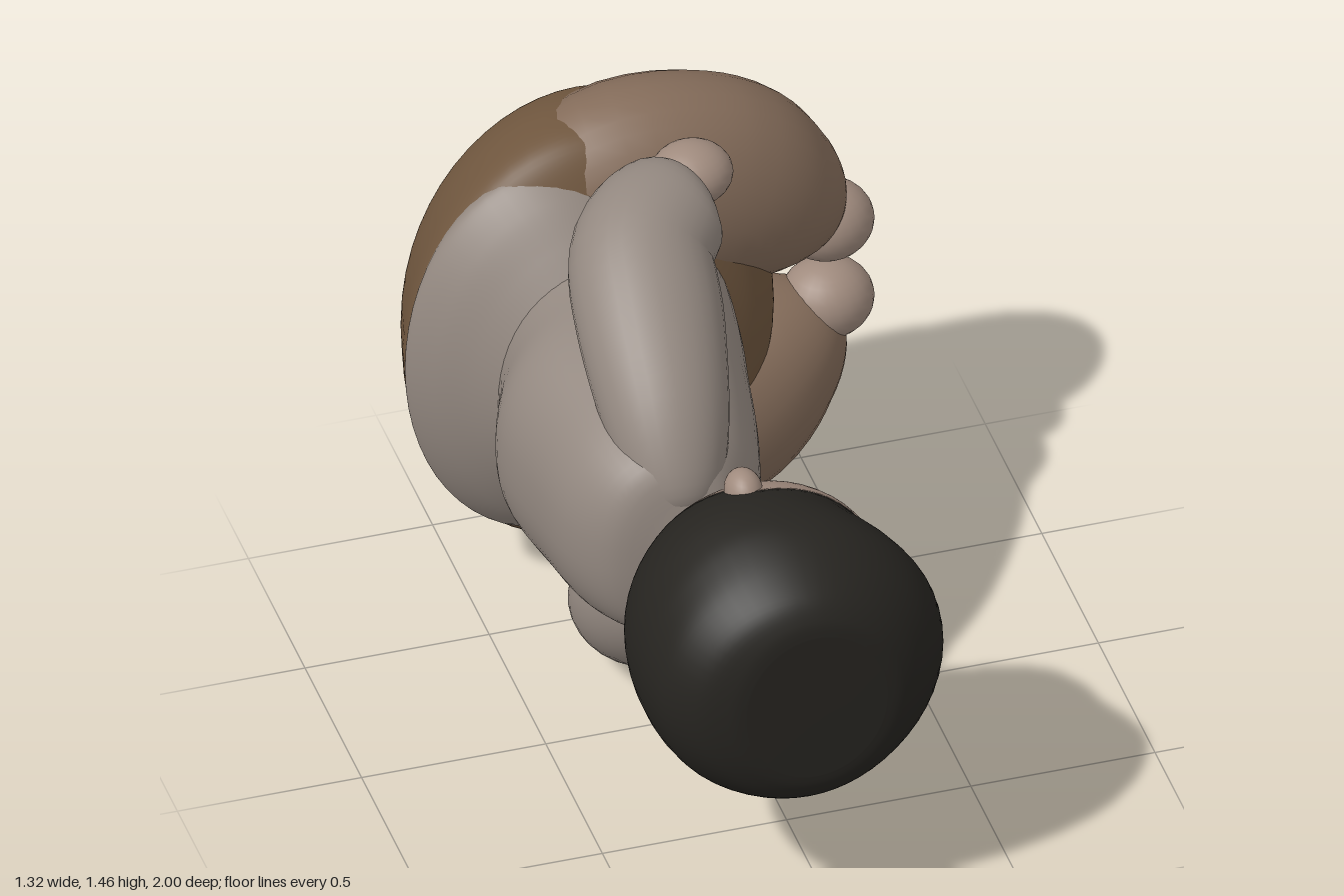
import * as THREE from 'three';

const MID = 0.742; // height of the figure's plane of symmetry
const CLOTH = 0x938880, SKIN = 0xa08b7e, HAIR = 0x262420, LEG = 0x846c5a, BASE = 0x6f563e;

// Smooth interpolation through rows of numbers, t in 0..1
function sample(rows, t) {
  const f = Math.min(Math.max(t, 0), 1) * (rows.length - 1);
  const i = Math.min(Math.floor(f), rows.length - 2), w = f - i;
  const row = (k) => rows[Math.min(Math.max(k, 0), rows.length - 1)];
  return rows[i].map((b, k) => {
    const a = row(i - 1)[k], c = row(i + 1)[k], d = row(i + 2)[k];
    return b + 0.5 * w * (c - a + w * (2 * a - 5 * b + 4 * c - d + w * (3 * (b - c) + d - a)));
  });
}

// Closed smooth skin over point(ring 0..1, angle)
function skin(name, color, point, rings = 40, sides = 56) {
  const pos = [], index = [];
  for (let i = 0; i <= rings; i++)
    for (let j = 0; j < sides; j++) pos.push(...point(i / rings, (j / sides) * Math.PI * 2));
  for (let i = 0; i < rings; i++)
    for (let j = 0; j < sides; j++) {
      const a = i * sides + j, b = i * sides + ((j + 1) % sides);
      index.push(a, b, b + sides, a, b + sides, a + sides);
    }
  // caps
  for (const end of [0, rings]) {
    const c = [0, 0, 0], first = end * sides;
    for (let j = 0; j < sides; j++) for (let k = 0; k < 3; k++) c[k] += pos[(first + j) * 3 + k] / sides;
    const centre = pos.length / 3;
    pos.push(...c);
    for (let j = 0; j < sides; j++) {
      const a = first + j, b = first + ((j + 1) % sides);
      if (end) index.push(centre, a, b); else index.push(centre, b, a);
    }
  }
  const g = new THREE.BufferGeometry();
  g.setAttribute('position', new THREE.Float32BufferAttribute(pos, 3));
  g.setIndex(index);
  g.computeVertexNormals();
  return part(name, color, g);
}

function part(name, color, geometry) {
  const mesh = new THREE.Mesh(geometry, new THREE.MeshStandardMaterial({ color }));
  mesh.name = name;
  return mesh;
}

// Point on a section table with rows [z, back x, front x, half width]
const squash = (v, p) => Math.sign(v) * Math.abs(v) ** p;
function onSection(rows, t, angle, p = 1) {
  const [z, x0, x1, h] = sample(rows, t);
  return [(x0 + x1) / 2 + ((x1 - x0) / 2) * squash(Math.cos(angle), p), MID + h * squash(Math.sin(angle), p), z];
}
const loft = (name, color, rows, p) => skin(name, color, (t, a) => onSection(rows, t, a, p));

// Rounded limb through rows [x, y from middle, z, radius along ref, other radius]
function limb(name, color, rows, side, ref, power) {
  const at = (t) => {
    const r = sample(rows, t);
    return { c: new THREE.Vector3(r[0], MID + side * r[1], r[2]), a: r[3], b: r[4] };
  };
  return skin(name, color, (s, angle) => {
    const t = (1 - Math.cos(Math.PI * s)) / 2, { c, a, b } = at(t);
    const dir = at(Math.min(t + 0.02, 1)).c.sub(at(Math.max(t - 0.02, 0)).c).normalize();
    const u = ref.clone().addScaledVector(dir, -ref.dot(dir)).normalize();
    const v = dir.clone().cross(u);
    const k = Math.sqrt(Math.max(0, 1 - Math.abs(2 * t - 1) ** power));
    c.addScaledVector(u, a * k * Math.cos(angle)).addScaledVector(v, b * k * Math.sin(angle));
    return [c.x, c.y, Math.max(c.z, -0.995)]; // flat underside
  }, 36, 32);
}

function ball(name, color, x, y, z, rx, ry, rz) {
  const m = part(name, color, new THREE.SphereGeometry(1, 24, 16));
  m.position.set(x, y, z);
  m.scale.set(rx, ry, rz);
  return m;
}

const HEAD = [
  [0.27, -0.25, -0.04, 0.1], [0.32, -0.32, 0.07, 0.19], [0.4, -0.38, 0.2, 0.3],
  [0.5, -0.44, 0.25, 0.37], [0.6, -0.465, 0.265, 0.405], [0.7, -0.47, 0.315, 0.415],
  [0.78, -0.465, 0.335, 0.405], [0.87, -0.445, 0.305, 0.37], [0.95, -0.385, 0.235, 0.32],
  [0.99, -0.31, 0.17, 0.265], [1, -0.26, 0.12, 0.22],
];

const TORSO = [
  [-0.68, -0.42, 0.2, 0.38], [-0.6, -0.45, 0.2, 0.4], [-0.45, -0.49, 0.18, 0.39],
  [-0.3, -0.54, 0.15, 0.38], [-0.1, -0.515, 0.11, 0.36], [0.1, -0.48, 0.05, 0.32],
  [0.23, -0.4, -0.03, 0.26], [0.28, -0.27, -0.05, 0.13], [0.31, -0.23, -0.06, 0.1],
];

const SEAT = [
  [-1, -0.53, 0.33, 0.58], [-0.97, -0.59, 0.35, 0.62], [-0.85, -0.63, 0.36, 0.65],
  [-0.72, -0.65, 0.34, 0.63], [-0.64, -0.58, 0.28, 0.52], [-0.6, -0.45, 0.2, 0.4],
];

const SKIRT = [
  [-0.76, -0.64, 0.08, 0.56], [-0.71, -0.66, 0.1, 0.57], [-0.63, -0.61, 0.1, 0.52],
  [-0.55, -0.53, 0.1, 0.44], [-0.48, -0.46, 0.1, 0.36],
];

const SLEEVE = [
  [-0.2, 0.1, 0.23, 0.13, 0.12], [-0.19, 0.3, 0.05, 0.17, 0.16], [-0.17, 0.45, -0.15, 0.195, 0.17],
  [-0.14, 0.54, -0.32, 0.19, 0.17], [-0.04, 0.585, -0.43, 0.17, 0.15], [0.03, 0.59, -0.48, 0.13, 0.12],
];

const THIGH = [
  [-0.32, 0.3, -0.83, 0.2, 0.25], [-0.05, 0.41, -0.82, 0.23, 0.285], [0.2, 0.345, -0.83, 0.23, 0.3],
  [0.4, 0.23, -0.86, 0.19, 0.22], [0.54, 0.14, -0.88, 0.12, 0.12],
];

// Hairline: high at the brow, level at the ears, low at the nape
function hairline(angle) {
  const c = Math.cos(angle);
  const z = c > 0 ? 0.56 + 0.23 * c ** 8 : 0.56 - 0.17 * Math.sqrt(-c);
  let lo = 0, hi = 1;
  for (let i = 0; i < 16; i++) {
    const m = (lo + hi) / 2;
    if (sample(HEAD, m)[0] < z) lo = m; else hi = m;
  }
  return lo;
}

export function createModel() {
  const model = new THREE.Group();
  model.name = 'seatedFigure';

  // Head
  model.add(
    skin('face', SKIN, (t, a) => onSection(HEAD, t * hairline(a), a)),
    skin('hair', HAIR, (t, a) => {
      const h = hairline(a);
      return onSection(HEAD, h + t * (1 - h), a);
    }),
  );

  // Body and seat
  model.add(
    loft('torso', CLOTH, TORSO, 0.9),
    loft('skirt', CLOTH, SKIRT),
    loft('seat', BASE, SEAT),
  );

  // Mirrored parts
  const alongX = new THREE.Vector3(1, 0, 0), alongZ = new THREE.Vector3(0, 0, 1);
  for (const s of [-1, 1]) {
    const y = (d) => MID + s * d;
    model.add(
      ball('ear', SKIN, -0.12, y(0.365), 0.51, 0.05, 0.06, 0.065),
      ball('eye', HAIR, 0.226, y(0.155), 0.55, 0.012, 0.022, 0.022),
      limb('sleeve', CLOTH, SLEEVE, s, alongX, 8),
      ball('hand', SKIN, 0.055, y(0.625), -0.52, 0.11, 0.085, 0.1),
      limb('leg', LEG, THIGH, s, alongZ, 6),
      ball('foot', SKIN, 0.53, y(0.125), -0.87, 0.125, 0.11, 0.115),
    );
  }
  return model;
}
